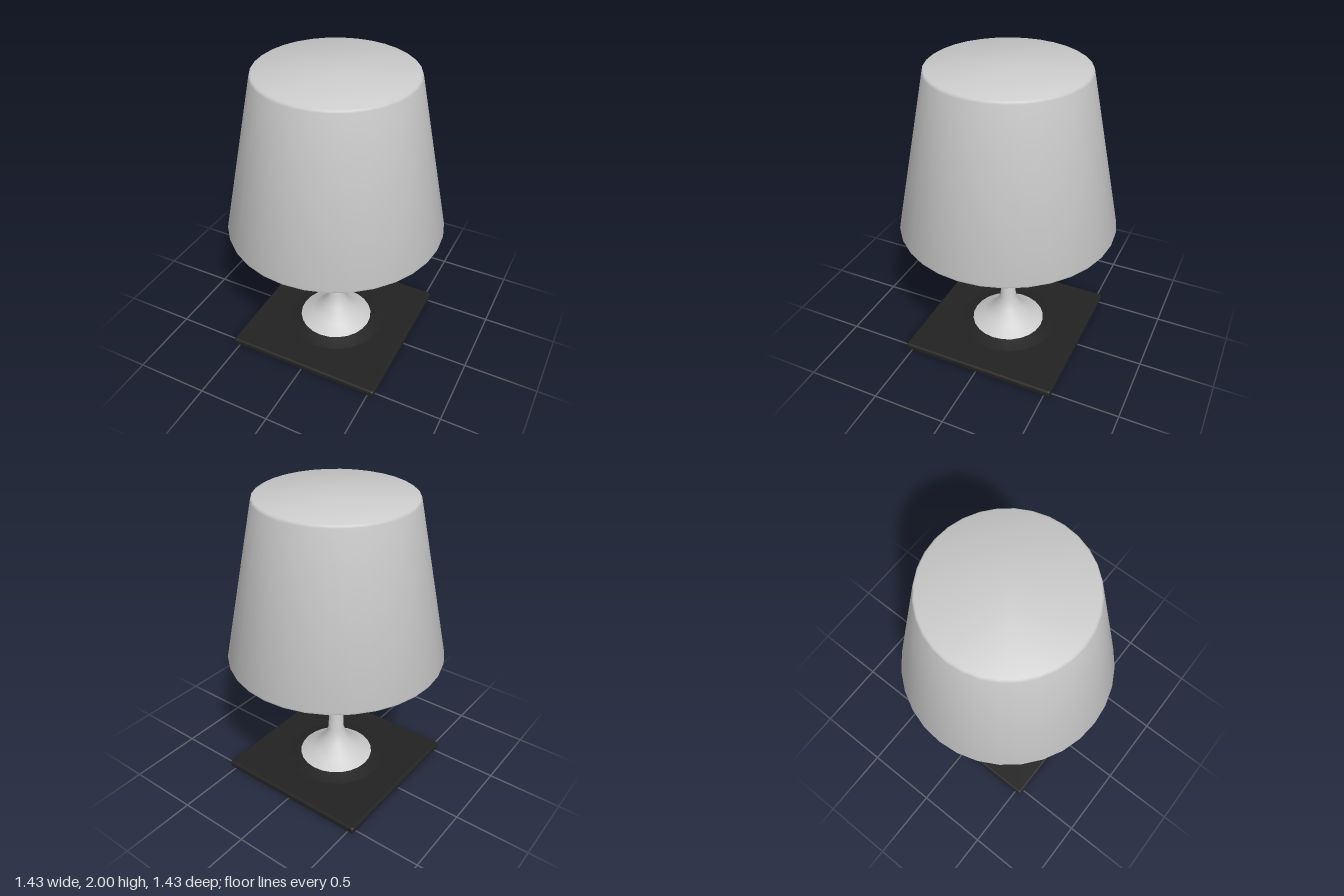
import * as THREE from 'three';
import { RoundedBoxGeometry } from 'three/addons/geometries/RoundedBoxGeometry.js';
import { toCreasedNormals } from 'three/addons/utils/BufferGeometryUtils.js';

const grey = new THREE.MeshStandardMaterial({ color: 0xcccccc, side: THREE.DoubleSide });
const black = new THREE.MeshStandardMaterial({ color: 0x222222, side: THREE.DoubleSide });

// Turned part from [radius, height] pairs
function turned(name, profile, sides, material, crease = 0.7) {
  const points = profile.map(([r, y]) => new THREE.Vector2(r, y));
  const geometry = toCreasedNormals(new THREE.LatheGeometry(points, sides), crease);
  const mesh = new THREE.Mesh(geometry, material);
  mesh.name = name;
  return mesh;
}

export function createModel() {
  const lamp = new THREE.Group();
  lamp.name = 'tableLamp';

  // Square foot plate with softened edges
  const plate = new THREE.Mesh(new RoundedBoxGeometry(1.09, 0.05, 1.09, 3, 0.018), black);
  plate.name = 'basePlate';
  plate.position.y = 0.025;
  lamp.add(plate);

  // Low mound joining the plate to the stem
  lamp.add(turned('baseMound', [[0.36, 0.047], [0.31, 0.058], [0.255, 0.075]], 16, black));

  // Stem flaring out to the foot and, inside the shade, to the holder
  lamp.add(turned('stem', [
    [0.255, 0.075], [0.17, 0.125], [0.09, 0.195], [0.055, 0.28],
    [0.043, 0.6], [0.041, 0.9], [0.041, 1.08], [0.055, 1.14],
    [0.1, 1.19], [0.19, 1.24], [0.31, 1.3],
  ], 24, grey));

  // Closed top of the holder
  lamp.add(turned('holderTop', [[0.31, 1.3], [0.29, 1.32], [0, 1.33]], 24, grey));

  // Tapered shade: inner wall, rolled lower rim, outer wall and closed top
  lamp.add(turned('shade', [
    [0, 1.975], [0.487, 1.975], [0.698, 0.93], [0.702, 0.92],
    [0.711, 0.92], [0.715, 0.934], [0.505, 1.982], [0.502, 1.993],
    [0.492, 2], [0, 2],
  ], 32, grey, 0.9));

  return lamp;
}
